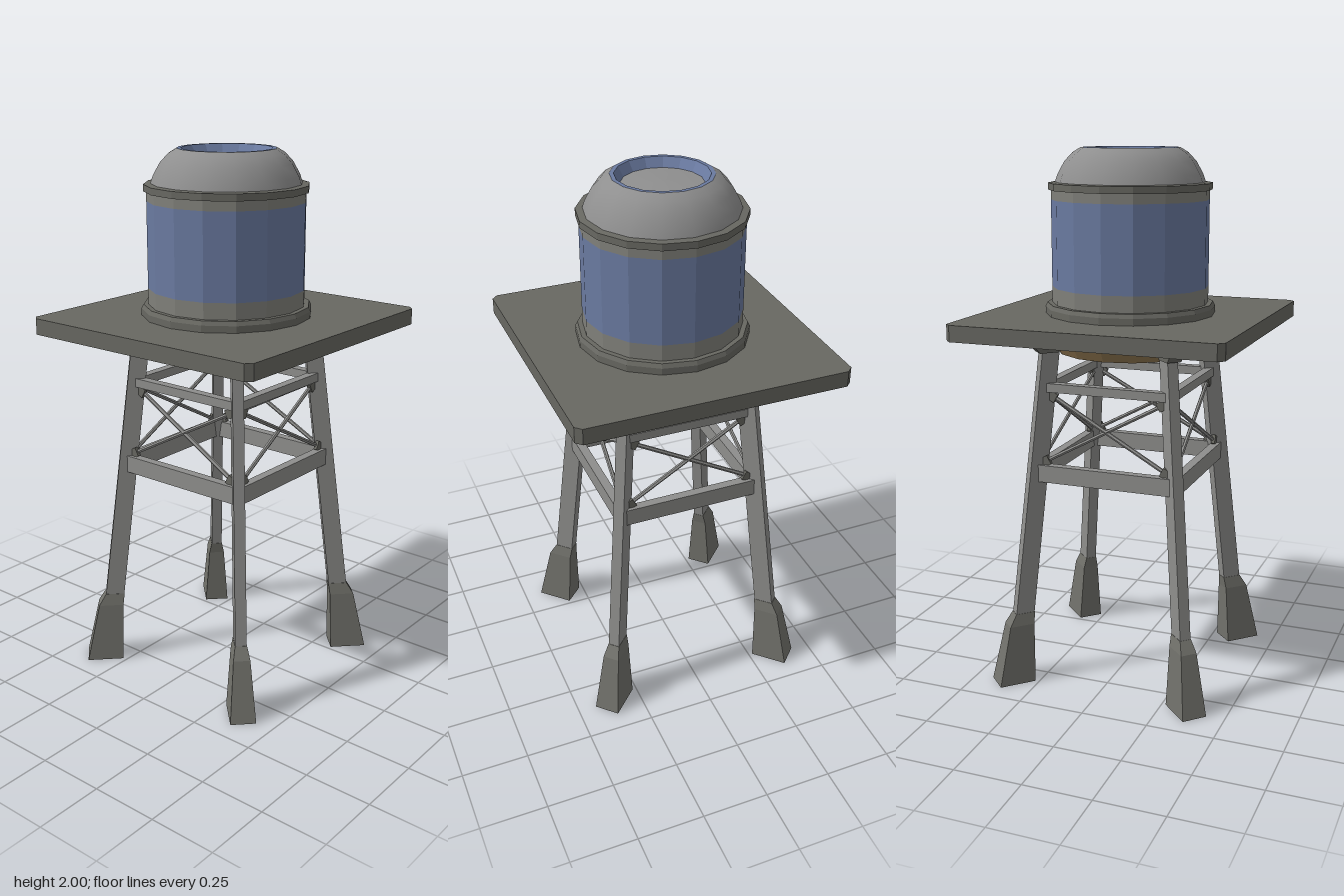
import * as THREE from 'three';

const mat = (name, color, extra = {}) => {
  const m = new THREE.MeshStandardMaterial({ color, ...extra });
  m.name = name;
  return m;
};

export function createModel() {
  const root = new THREE.Group();
  root.name = 'waterTower';
  const flat = { flatShading: true };
  const steel = mat('steel grey', 0x8e8e8c, flat);
  const domeGrey = mat('dome grey', 0x8f8f8f);
  const blue = mat('blue paint', 0x6a7aa0, flat);
  const band = mat('worn band grey', 0x80807a, flat);
  const dark = mat('dark platform grey', 0x686862, flat);
  const concrete = mat('footing grey', 0x72726c, flat);
  const tan = mat('tan underside', 0x8f7650, flat);

  const add = (name, geo, material, parent = root) => {
    const m = new THREE.Mesh(geo, material);
    m.name = name;
    parent.add(m);
    return m;
  };
  const lathe = (pts) => new THREE.LatheGeometry(pts.map(([r, y]) => new THREE.Vector2(r, y)), 16);

  // Box tapered and leaned between two levels: [y, centre x, size x, size z]
  const taper = (lo, hi) => {
    const g = new THREE.BoxGeometry(1, 1, 1);
    const p = g.attributes.position;
    for (let i = 0; i < p.count; i++) {
      const [y, c, sx, sz] = p.getY(i) > 0 ? hi : lo;
      p.setXYZ(i, c + p.getX(i) * sx, y, p.getZ(i) * sz);
    }
    g.computeVertexNormals();
    return g;
  };

  // Platform slab with clipped corners
  const X = 0.51, Z = 0.503, C = 0.022;
  const slab = new THREE.Shape([
    [X, Z - C], [X - C, Z], [C - X, Z], [-X, Z - C],
    [-X, C - Z], [C - X, -Z], [X - C, -Z], [X, C - Z],
  ].map(([x, y]) => new THREE.Vector2(x, y)));
  const slabGeo = new THREE.ExtrudeGeometry(slab, { depth: 0.06, bevelEnabled: false });
  slabGeo.rotateX(-Math.PI / 2).translate(0, 1.34, 0);
  add('platform', slabGeo, dark);

  // Tank, from the underside up
  add('tankUnderside', lathe([[0, 1.26], [0.275, 1.26], [0.318, 1.34]]), tan);
  add('baseRing', lathe([[0.316, 1.4], [0.316, 1.425], [0.308, 1.44], [0.285, 1.44]]), dark);
  add('lowerBand', lathe([[0.29, 1.43], [0.29, 1.5]]), band);
  add('tankWall', lathe([[0.29, 1.5], [0.29, 1.815]]), blue);
  add('upperBand', lathe([[0.29, 1.815], [0.29, 1.86]]), band);
  add('upperRing', lathe([[0.285, 1.85], [0.3, 1.85], [0.3, 1.875], [0.27, 1.878]]), dark);
  add('dome', lathe([[0.277, 1.87], [0.265, 1.905], [0.24, 1.95], [0.21, 1.982], [0.18, 2]]), domeGrey);
  add('hatchRim', lathe([[0.18, 2], [0.165, 2], [0.142, 1.962]].map((p) => p)), blue);
  add('hatchCap', lathe([[0.146, 1.966], [0.08, 1.972], [0, 1.974]]), domeGrey);

  // Four legs on the diagonals, each with a footing
  const R2 = Math.SQRT2;
  const lean = (y) => 0.32 - (y - 0.23) * 0.0856; // x and z of a leg's centre line
  for (let k = 0; k < 4; k++) {
    const leg = new THREE.Group();
    leg.name = 'leg' + (k + 1);
    leg.rotation.y = Math.PI / 4 + k * Math.PI / 2;
    root.add(leg);
    add('post', taper([0.2, lean(0.2) * R2, 0.072, 0.042], [1.34, lean(1.34) * R2, 0.066, 0.04]), steel, leg);
    add('footing', taper([0, 0.348 * R2, 0.14, 0.095], [0.23, 0.328 * R2, 0.095, 0.062]), concrete, leg);
    add('footingCap', taper([0.23, 0.328 * R2, 0.095, 0.062], [0.275, lean(0.275) * R2, 0.074, 0.044]), concrete, leg);
    add('legBracket', taper([1.275, 0.335, 0.07, 0.055], [1.34, 0.365, 0.12, 0.06]), dark, leg);
  }

  // Bracing on each of the four sides
  for (let k = 0; k < 4; k++) {
    const side = new THREE.Group();
    side.name = 'bracing' + (k + 1);
    side.rotation.y = k * Math.PI / 2;
    root.add(side);
    const beam = (name, y, h, w) =>
      add(name, new THREE.BoxGeometry(w, h, 0.034), steel, side).position.set(0, y, lean(y));
    beam('lowerBeam', 0.823, 0.065, 0.53);
    beam('upperBeam', 1.145, 0.033, 0.48);
    for (const s of [-1, 1]) {
      // Crossed tie rods
      const a = new THREE.Vector3(-0.24 * s, 0.865, lean(0.865) - 0.005);
      const b = new THREE.Vector3(0.22 * s, 1.115, lean(1.115) - 0.005);
      add('tieRod', new THREE.TubeGeometry(new THREE.LineCurve3(a, b), 1, 0.008, 6), steel, side);
      // Corner plates holding the rods
      for (const [y, x] of [[0.865, 0.24], [1.115, 0.218]]) {
        const plate = add('rodPlate', new THREE.BoxGeometry(0.045, 0.035, 0.014), dark, side);
        plate.position.set(x * s, y, lean(y));
        plate.rotation.z = (y < 1 ? -0.5 : 0.5) * s;
      }
    }
  }
  return root;
}
